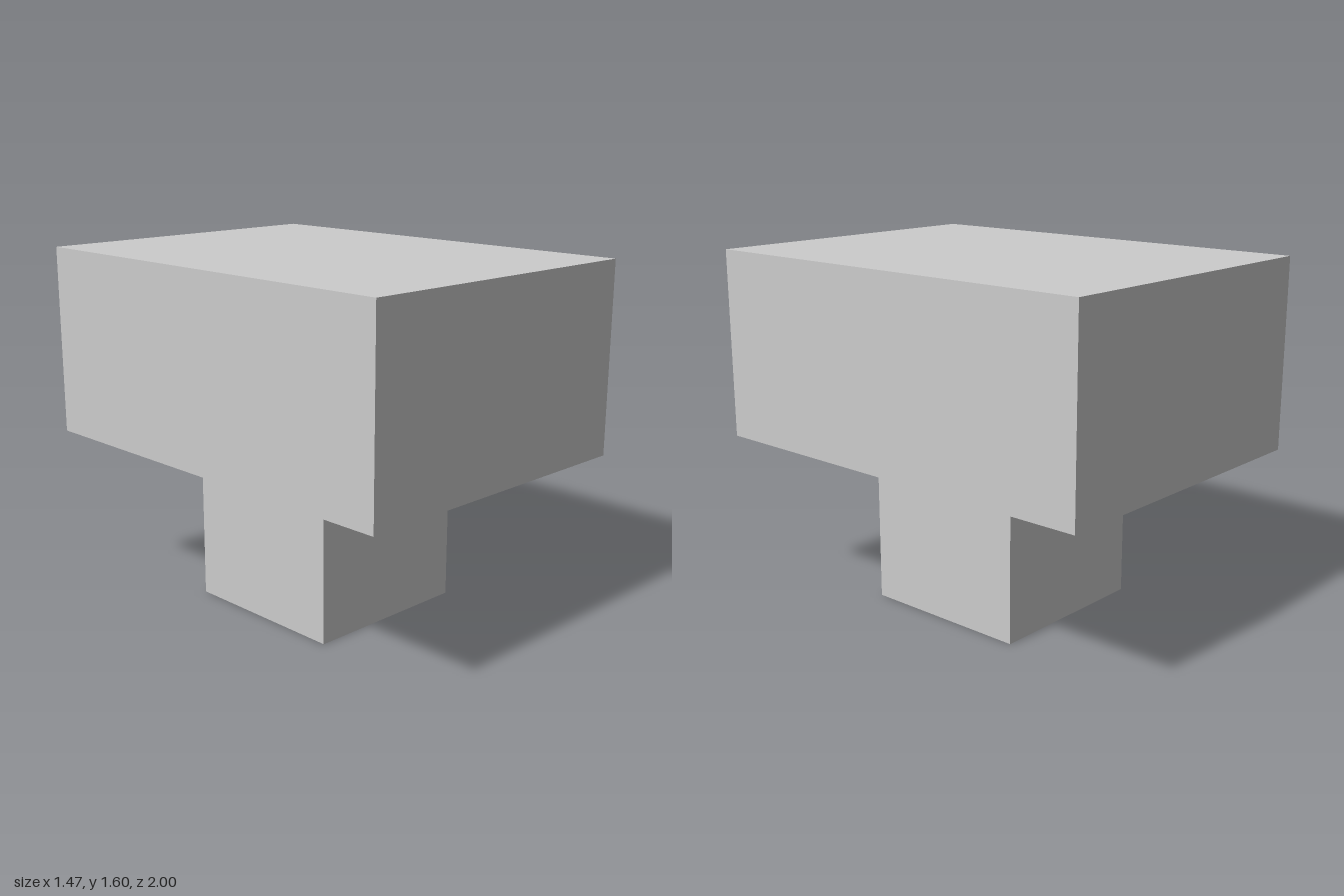
import * as THREE from 'three';

const material = new THREE.MeshStandardMaterial({ color: 0xcccccc, flatShading: true });

// Box centred on the y axis, standing on height y0
function block(name, width, height, depth, y0) {
  const mesh = new THREE.Mesh(new THREE.BoxGeometry(width, height, depth), material);
  mesh.name = name;
  mesh.position.y = y0 + height / 2;
  return mesh;
}

export function createModel() {
  const model = new THREE.Group();
  model.name = 'blockOnPedestal';

  const pedestalHeight = 0.735;
  const totalHeight = 1.6;

  // Square pedestal
  model.add(block('pedestal', 0.8, pedestalHeight, 0.8, 0));
  // Wide block resting on it
  model.add(block('topBlock', 1.465, totalHeight - pedestalHeight, 2, pedestalHeight));

  return model;
}
